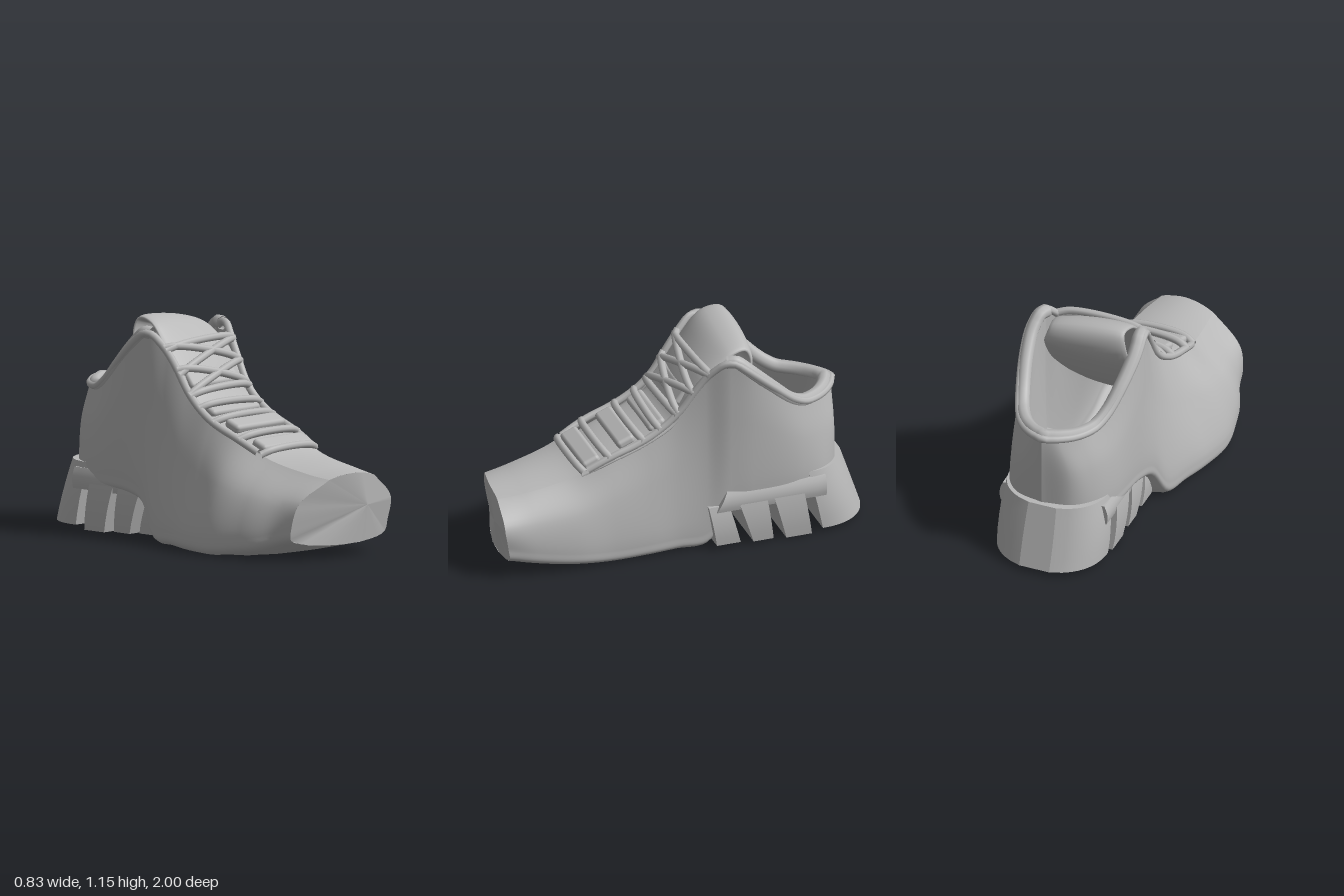
import * as THREE from 'three';
import { ParametricGeometry } from 'three/addons/geometries/ParametricGeometry.js';
import { RoundedBoxGeometry } from 'three/addons/geometries/RoundedBoxGeometry.js';

const V = (x, y, z) => new THREE.Vector3(x, y, z);
const { lerp, clamp, smoothstep } = THREE.MathUtils;

// Toe to heel: z, bottom y, rim y, then the x of both sides at flank, shoulder and rim
const ROWS = [
  [1.0, 0.11, 0.42, -0.3, 0.32, -0.27, 0.32, -0.1, 0.2],
  [0.85, 0.08, 0.44, -0.33, 0.34, -0.28, 0.32, -0.12, 0.22],
  [0.6, 0.04, 0.49, -0.39, 0.355, -0.32, 0.33, -0.15, 0.23],
  [0.4, 0.015, 0.58, -0.42, 0.34, -0.33, 0.32, -0.18, 0.25],
  [0.2, 0.015, 0.66, -0.385, 0.335, -0.28, 0.31, -0.18, 0.26],
  [0.05, 0.02, 0.77, -0.34, 0.33, -0.25, 0.31, -0.17, 0.27],
  [-0.1, 0.03, 0.98, -0.3, 0.34, -0.23, 0.33, -0.18, 0.31],
  [-0.22, 0.2, 1.08, -0.26, 0.36, -0.23, 0.375, -0.21, 0.37],
  [-0.34, 0.24, 1.0, -0.24, 0.37, -0.235, 0.39, -0.215, 0.395],
  [-0.62, 0.25, 0.765, -0.21, 0.36, -0.195, 0.355, -0.14, 0.325],
  [-0.75, 0.25, 0.745, -0.15, 0.32, -0.13, 0.3, -0.07, 0.255],
  [-0.83, 0.25, 0.75, -0.06, 0.24, -0.05, 0.23, 0.02, 0.17],
  [-0.865, 0.25, 0.755, 0.094, 0.096, 0.094, 0.096, 0.094, 0.096],
];
const LAST = ROWS.length - 1;

// Eight rails run lengthwise: rim, shoulder, flank, sole edge, then the same back up the other side
const sections = ROWS.map(([z, y0, y1, fa, fb, sa, sb, ra, rb]) => {
  const flank = y0 + 0.07, shoulder = lerp(y0, y1, 0.62);
  return [
    V(ra, y1, z), V(sa, shoulder, z), V(fa, flank, z), V(lerp(fa, fb, 0.025), y0, z),
    V(lerp(fb, fa, 0.025), y0, z), V(fb, flank, z), V(sb, shoulder, z), V(rb, y1, z),
  ];
});
const rails = sections[0].map((_, i) => new THREE.CatmullRomCurve3(sections.map((s) => s[i])));
const rail = (i, row) => rails[i].getPoint(clamp(row / LAST, 0, 1));

// Slants the blunt toe back toward one side and toward the ground
function slantToe(p) {
  const k = smoothstep(p.z, 0.6, 1);
  p.z -= k * (0.1 * Math.pow(clamp((0.1 - p.x) / 0.38, 0, 1), 1.5) + 0.03 * clamp((0.28 - p.y) / 0.16, 0, 1));
  return p;
}
function shellPoint(row, v) {
  const section = new THREE.CatmullRomCurve3(rails.map((_, i) => rail(i, row)));
  const p = section.getPoint(v);
  p.y = Math.max(p.y, 0.005);
  return slantToe(p);
}
function vampPoint(row, v) {
  const p = rail(0, row).lerp(rail(7, row), v);
  p.y += 0.025 * 4 * v * (1 - v);
  return slantToe(p);
}
// Moves a point of the ankle toward the middle of the opening
function inward(p, amount) {
  p.x = lerp(p.x, 0.09, amount);
  p.z = lerp(p.z, -0.35, amount);
  return p;
}

export function createModel() {
  const grey = new THREE.MeshStandardMaterial({ color: 0xb8b8b8, side: THREE.DoubleSide });
  grey.name = 'soft grey';
  const shoe = new THREE.Group();
  shoe.name = 'shoe';
  const add = (name, geometry) => {
    const mesh = new THREE.Mesh(geometry, grey);
    mesh.name = name;
    shoe.add(mesh);
    return mesh;
  };
  const surface = (name, fn, nu, nv) =>
    add(name, new ParametricGeometry((u, v, target) => target.copy(fn(u, v)), nu, nv));
  const tube = (name, points, radius, segments) =>
    add(name, new THREE.TubeGeometry(new THREE.CatmullRomCurve3(points), segments, radius, 8));

  // Upper with open collar, toe box and blunt toe face
  surface('upper', (u, v) => shellPoint(u * LAST, v), 72, 48);
  surface('toeBox', (u, v) => vampPoint(u * 2.25, v), 14, 14);
  const toeCentre = V(0.15, 0.27, 0.998);
  surface('toeFace', (u, v) => {
    const edge = v < 0.8 ? shellPoint(0, v / 0.8) : vampPoint(0, 1 - (v - 0.8) / 0.2);
    return toeCentre.clone().lerp(edge, u);
  }, 3, 50);

  // Lining and insole inside the ankle
  surface('lining', (u, v) => {
    const p = inward(shellPoint(lerp(7, LAST, u), v), 0.14);
    p.y = Math.max(p.y, 0.3);
    return p;
  }, 30, 36);

  // Thin rolled edge along the eyestays, thick padding around the collar
  const rim = (start, amount) => {
    const side = (i) => {
      const points = [];
      for (let r = start; r < LAST; r += 0.4) points.push(inward(rail(i, r), amount));
      return points;
    };
    return [...side(0), inward(rail(0, LAST), amount), ...side(7).reverse()];
  };
  tube('eyestayEdge', rim(2.4, 0), 0.02, 130);
  tube('collarPadding', rim(6.8, 0.07), 0.036, 100);

  // Padded tongue: y, z and half width up the front, over the top and down inside
  const tongueLine = new THREE.CatmullRomCurve3([
    [0.46, 0.62, 0.17], [0.56, 0.4, 0.21], [0.64, 0.2, 0.22], [0.73, 0.05, 0.22], [0.88, -0.05, 0.23],
    [1.0, -0.14, 0.23], [1.1, -0.25, 0.22], [1.11, -0.34, 0.21], [1.03, -0.36, 0.23],
    [0.86, -0.26, 0.25], [0.68, -0.1, 0.24], [0.5, 0.1, 0.24],
  ].map(([y, z, w]) => V(w, y, z)));
  surface('tongue', (u, v) => {
    const c = tongueLine.getPoint(u);
    const t = tongueLine.getTangent(u);
    const a = v * Math.PI * 2;
    const lift = 0.03 * Math.sin(a);
    const x = 0.06 + c.x * Math.cos(a);
    const len = Math.hypot(t.y, t.z);
    const lean = -0.14 * (x - 0.05) * smoothstep(c.y, 0.95, 1.1);
    return V(x, c.y - (t.z / len) * lift + lean, c.z + (t.y / len) * lift);
  }, 56, 28);

  // Raised pads between the lower laces
  for (const [y, z, tilt] of [[0.55, 0.49, 0.4], [0.635, 0.3, 0.38], [0.7, 0.13, 0.5], [0.84, -0.01, 0.9]]) {
    const pad = add('tonguePad', new RoundedBoxGeometry(0.36, 0.05, 0.1, 2, 0.02));
    pad.position.set(0.045, y, z);
    pad.rotation.x = tilt;
  }

  // Laces: straight bars below, crossing pairs above
  const laces = [[2.3, 2.3], [3, 3], [3.9, 3.9], [4.55, 4.45], [5, 5.05], [5.05, 5.6], [5.6, 5.1],
    [5.5, 6.15], [6.2, 5.6], [6.1, 6.2]];
  for (const [a, b] of laces) {
    const p = rail(0, a), q = rail(7, b);
    const mid = (t, lift) => p.clone().lerp(q, t).add(V(0, lift * 0.7, lift * 0.7));
    tube('lace', [mid(-0.02, 0), mid(0.12, 0.03), mid(0.5, 0.045), mid(0.88, 0.03), mid(1.02, 0)], 0.02, 20);
  }

  // Heel sole blocks: slanted boxes that follow the rounded heel outline
  const halfWidth = (z) => 0.305 * Math.sqrt(Math.max(0.02, 1 - Math.pow(clamp((-z - 0.7) / 0.31, 0, 1), 2.5)));
  function soleBlock(name, y0, y1, [b0, b1], [t0, t1], topScale) {
    const g = new THREE.BoxGeometry(1, 1, 1, 10, 5, 12);
    const pos = g.attributes.position;
    for (let i = 0; i < pos.count; i++) {
      const t = pos.getY(i) + 0.5, s = 0.5 - pos.getZ(i);
      const low = lerp(b0, b1, s), high = lerp(t0, t1, s);
      const bulge = lerp(1, topScale, t) * (0.97 + 0.16 * t * (1 - t));
      pos.setXYZ(i, 0.08 + 2 * pos.getX(i) * halfWidth(low) * bulge, lerp(y0, y1, t), lerp(low, high, t));
    }
    g.computeVertexNormals();
    add(name, g);
  }
  soleBlock('midsole', 0.22, 0.33, [-0.14, -0.74], [-0.2, -0.74], 0.96);
  soleBlock('soleLug', 0.03, 0.25, [-0.14, -0.27], [-0.1, -0.21], 0.96);
  soleBlock('soleLug', 0.02, 0.29, [-0.34, -0.45], [-0.25, -0.41], 1);
  soleBlock('soleLug', 0.01, 0.3, [-0.52, -0.66], [-0.44, -0.61], 1);
  soleBlock('heelLug', 0.03, 0.36, [-0.72, -1.0], [-0.65, -0.89], 0.93);

  return shoe;
}
